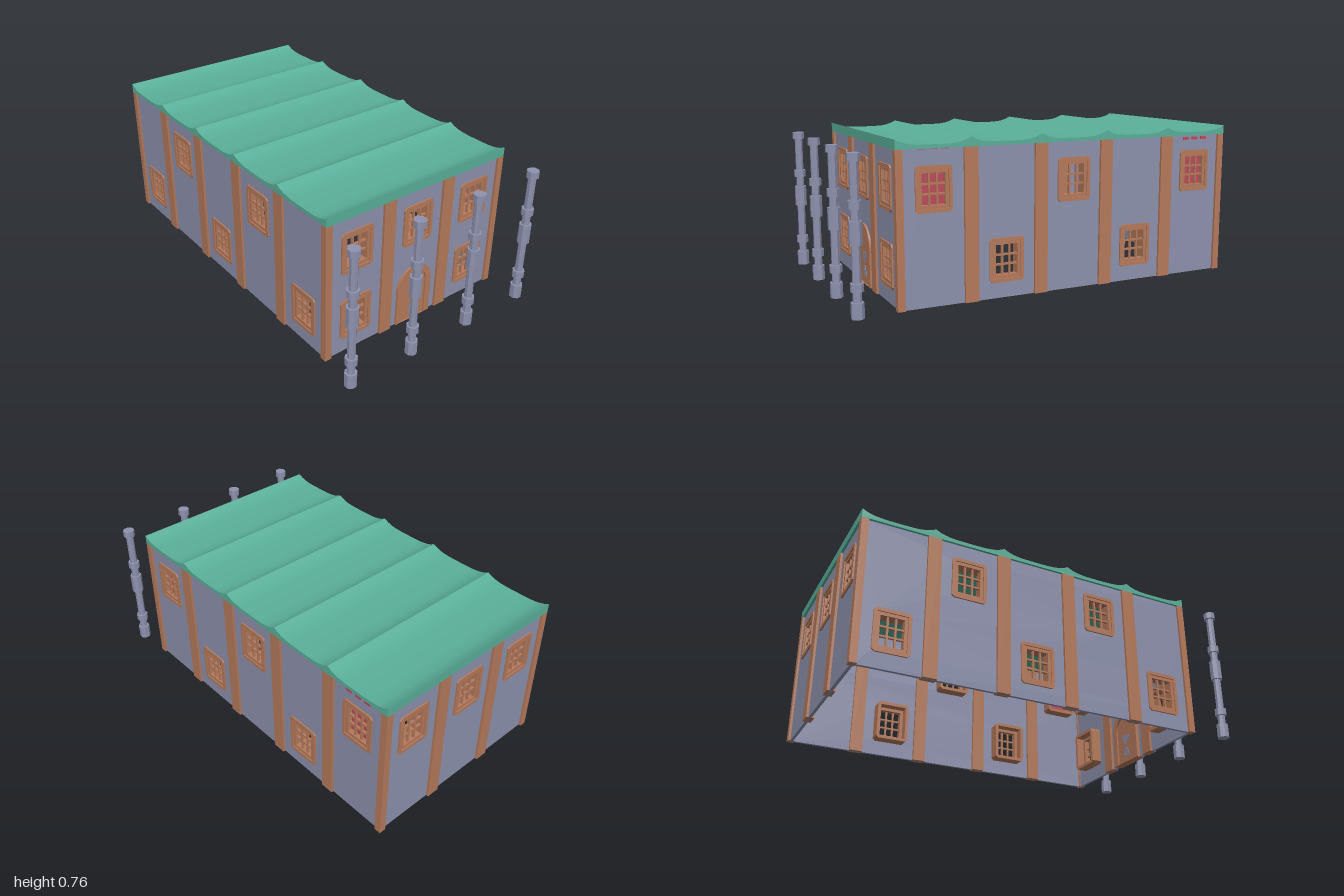
import * as THREE from 'three';
import { toCreasedNormals } from 'three/addons/utils/BufferGeometryUtils.js';

const BAY = 0.358, WALL_H = 0.72;
const UPPER = 0.539, LOWER = 0.182;

function material(name, color) {
  const m = new THREE.MeshStandardMaterial({ color });
  m.name = name;
  return m;
}

export function createModel() {
  const slate = material('slate blue', 0x8e92ae);
  const copper = material('copper brown', 0xb57a5c);
  const green = material('roof green', 0x5ab09a);
  const red = material('curtain red', 0xc04a5c);

  const add = (parent, name, geometry, mat, x = 0, y = 0, z = 0) => {
    const mesh = new THREE.Mesh(geometry, mat);
    mesh.name = name;
    mesh.position.set(x, y, z);
    parent.add(mesh);
    return mesh;
  };
  const box = (parent, name, w, h, d, mat, x, y, z) =>
    add(parent, name, new THREE.BoxGeometry(w, h, d), mat, x, y, z);

  // Extrudes a shape between two depths
  const slab = (shape, z0, z1) => {
    const g = new THREE.ExtrudeGeometry(shape, { depth: z1 - z0, bevelEnabled: false, curveSegments: 16 });
    return g.translate(0, 0, z0);
  };
  const outline = (points) => points.map(([x, y]) => new THREE.Vector2(x, y));

  // Rectangle with cut corners
  const rect = (w, h, cut = 0, cx = 0, cy = 0) => {
    const a = w / 2, b = h / 2;
    const p = cut
      ? [[-a + cut, -b], [a - cut, -b], [a, -b + cut], [a, b - cut], [a - cut, b], [-a + cut, b], [-a, b - cut], [-a, -b + cut]]
      : [[-a, -b], [a, -b], [a, b], [-a, b]];
    return outline(p.map(([x, y]) => [x + cx, y + cy]));
  };
  const ring = (outer, inner) => {
    const s = new THREE.Shape(outer);
    s.holes.push(new THREE.Path(inner));
    return s;
  };

  // Window geometries are shared by every window
  const casing = slab(ring(rect(0.176, 0.212, 0.012), rect(0.143, 0.178)), -0.075, 0.008);
  const sash = slab(ring(rect(0.143, 0.178), rect(0.112, 0.145)), -0.03, 0.002);
  const barV = new THREE.BoxGeometry(0.009, 0.145, 0.012);
  const barH = new THREE.BoxGeometry(0.112, 0.009, 0.012);

  function addWindow(parent, x, y, curtain) {
    const w = new THREE.Group();
    w.name = 'window';
    w.position.set(x, y, 0);
    add(w, 'windowCasing', casing, copper);
    add(w, 'windowSash', sash, copper);
    for (const s of [-1, 1]) {
      add(w, 'verticalBar', barV, copper, s * 0.019, 0, -0.01);
      add(w, 'horizontalBar', barH, copper, 0, s * 0.023, -0.01);
    }
    if (curtain) box(w, 'curtain', 0.125, 0.155, 0.006, red, 0, 0, -0.024);
    parent.add(w);
  }

  // One wall in its own plane, outer face at local z = 0
  function addWall(parent, name, bays, windows) {
    const wall = new THREE.Group();
    wall.name = name;
    const width = bays * BAY - 0.03;
    const s = new THREE.Shape(rect(width, WALL_H, 0, 0, WALL_H / 2));
    for (const [x, y] of windows) s.holes.push(new THREE.Path(rect(0.15, 0.185, 0, x, y)));
    add(wall, 'wallPanel', slab(s, -0.015, 0), slate);
    for (let i = 1; i < bays; i++) {
      box(wall, 'pilaster', 0.068, WALL_H, 0.04, copper, (i - bays / 2) * BAY, WALL_H / 2, -0.008);
    }
    for (const [x, y, curtain] of windows) addWindow(wall, x, y, curtain);
    parent.add(wall);
    return wall;
  }

  const model = new THREE.Group();
  model.name = 'hall';
  const zc = -0.105, halfX = 1.5 * BAY, halfZ = 2.5 * BAY, inset = 0.012;

  // Walls
  const front = addWall(model, 'frontWall', 3,
    [[-BAY, UPPER], [0, UPPER], [BAY, UPPER], [-BAY, LOWER], [BAY, LOWER]]);
  front.position.z = zc + halfZ - inset;
  const back = addWall(model, 'backWall', 3, [-1, 0, 1].map(i => [i * BAY, UPPER]));
  back.rotation.y = Math.PI;
  back.position.z = zc - halfZ + inset;
  const sideBays = [-2, -1, 0, 1, 2];
  const left = addWall(model, 'leftWall', 5,
    sideBays.map(i => [i * BAY, i % 2 ? LOWER : UPPER, Math.abs(i) === 2]));
  left.rotation.y = Math.PI / 2;
  left.position.set(halfX - inset, 0, zc);
  const right = addWall(model, 'rightWall', 5,
    sideBays.map(i => [i * BAY, i % 2 ? UPPER : LOWER, false]));
  right.rotation.y = -Math.PI / 2;
  right.position.set(-halfX + inset, 0, zc);

  // Red curtain tabs below the eaves
  for (const i of [-1, 0, 1]) {
    box(left, 'curtainTab', 0.034, 0.014, 0.006, red, 2 * BAY + i * 0.055, 0.705, 0.002);
    box(left, 'curtainTab', 0.034, 0.003, 0.01, red, -2 * BAY + i * 0.055, 0.7185, 0.004);
  }

  // Corner posts
  for (const sx of [-1, 1]) for (const sz of [-1, 1]) {
    box(model, 'cornerPost', 0.035, WALL_H, 0.035, copper,
      sx * (halfX - 0.0175), WALL_H / 2, zc + sz * (halfZ - 0.0175));
  }

  // Arched door
  const arch = (r, Type) => {
    const p = new Type();
    p.moveTo(-r, 0);
    p.lineTo(r, 0);
    p.lineTo(r, 0.198);
    p.absarc(0, 0.198, r, 0, Math.PI, false);
    p.closePath();
    return p;
  };
  const door = new THREE.Group();
  door.name = 'door';
  const surround = arch(0.107, THREE.Shape);
  surround.holes.push(arch(0.073, THREE.Path));
  add(door, 'doorSurround', toCreasedNormals(slab(surround, -0.035, 0.01), 0.5), copper);
  add(door, 'doorLeaf', toCreasedNormals(slab(arch(0.073, THREE.Shape), -0.026, 0.003), 0.5), copper);
  const mirrorProfile = (pts) => new THREE.Shape(outline(
    [...pts, ...pts.slice().reverse().map(([x, y]) => [-x, y])]));
  const cup = mirrorProfile([[0.005, 0.106], [0.012, 0.118], [0.023, 0.13], [0.027, 0.143], [0.026, 0.16]]);
  const bell = mirrorProfile([[0.025, 0.038], [0.022, 0.052], [0.017, 0.072], [0.011, 0.084], [0.004, 0.091]]);
  for (const s of [cup, bell]) {
    add(door, 'doorOrnament', slab(s, 0.002, 0.005), slate);
    add(door, 'doorOrnament', slab(s, -0.028, -0.025), slate);
  }
  front.add(door);

  // Roof: five sagging bays with a ridge at each bay line
  const profile = [[-halfZ, WALL_H], [halfZ, WALL_H]];
  const steps = 14;
  for (let k = 0; k < 5; k++) {
    for (let i = k ? 1 : 0; i <= steps; i++) {
      const t = 1 - 2 * i / steps;
      profile.push([halfZ - (k + i / steps) * BAY, 0.738 + 0.027 * t ** 4]);
    }
  }
  const roofGeo = slab(new THREE.Shape(outline(profile)), -halfX, halfX);
  roofGeo.rotateY(Math.PI / 2);
  add(model, 'roof', toCreasedNormals(roofGeo, 0.4), green, 0, 0, zc);

  // Free-standing octagonal columns: [bottom, top] of each thick band
  const bands = [[0, 0.073], [0.121, 0.158], [0.325, 0.43], [0.482, 0.518], [0.685, 0.72]];
  const octagon = (w, h) => {
    const r = w / 2 / Math.cos(Math.PI / 8);
    return new THREE.CylinderGeometry(r, r, h, 8).rotateY(Math.PI / 8).toNonIndexed();
  };
  for (let i = 0; i < 4; i++) {
    const column = new THREE.Group();
    column.name = 'column';
    column.position.set((i - 1.5) * BAY, 0, 0.972);
    const flat = (g) => { g.computeVertexNormals(); return g; };
    add(column, 'columnShaft', flat(octagon(0.037, 0.7)), slate, 0, 0.355, 0);
    for (const [y0, y1] of bands) {
      add(column, 'columnBand', flat(octagon(0.056, y1 - y0)), slate, 0, (y0 + y1) / 2, 0);
    }
    model.add(column);
  }
  return model;
}
